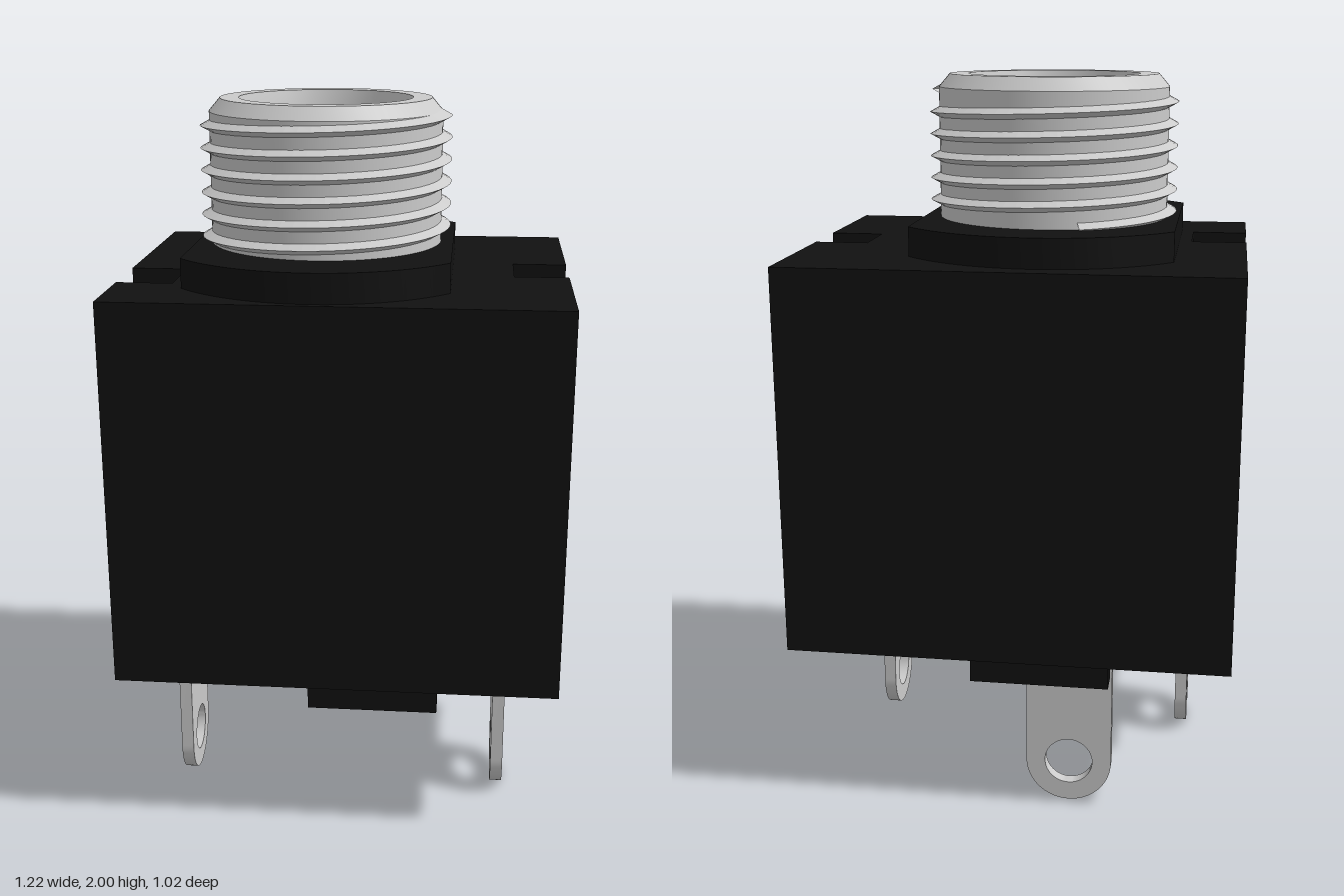
import * as THREE from 'three';
import { toCreasedNormals } from 'three/addons/utils/BufferGeometryUtils.js';
import { ParametricGeometry } from 'three/addons/geometries/ParametricGeometry.js';

const CX = -0.065, CZ = 0.015; // barrel axis

export function createModel() {
  const model = new THREE.Group();
  const black = new THREE.MeshStandardMaterial({ color: 0x111111 });
  const metal = new THREE.MeshStandardMaterial({ color: 0xcccccc });
  const ridge = new THREE.MeshStandardMaterial({ color: 0xcccccc, flatShading: true, side: THREE.DoubleSide });

  const add = (name, geometry, material, parent = model) => {
    const mesh = new THREE.Mesh(geometry, material);
    mesh.name = name;
    parent.add(mesh);
    return mesh;
  };
  const box = (name, x0, x1, y0, y1, z0, z1, material, parent) => {
    const mesh = add(name, new THREE.BoxGeometry(x1 - x0, y1 - y0, z1 - z0), material, parent);
    mesh.position.set((x0 + x1) / 2, (y0 + y1) / 2, (z0 + z1) / 2);
    return mesh;
  };
  // Plan outline from [x, z] points
  const outline = (pts, Type = THREE.Shape) => new Type(pts.map(([x, z]) => new THREE.Vector2(x, -z)));
  // Horizontal slab between two heights
  const slab = (name, shape, y0, y1, material, parent) => {
    const g = new THREE.ExtrudeGeometry(shape, { depth: y1 - y0, bevelEnabled: false, curveSegments: 32 });
    g.rotateX(-Math.PI / 2).translate(0, y0, 0);
    return add(name, toCreasedNormals(g, 0.5), material, parent);
  };
  const roundHole = (r) => new THREE.Path().absarc(CX, -CZ, r, 0, Math.PI * 2, true);
  // Strip hanging from y = 0 with a rounded lower end, centred in thickness
  const strip = (width, length, thick, hole) => {
    const r = width / 2, s = new THREE.Shape();
    s.moveTo(r, 0);
    s.lineTo(-r, 0);
    s.lineTo(-r, r - length);
    s.absarc(0, r - length, r, Math.PI, Math.PI * 2, false);
    s.closePath();
    if (hole) s.holes.push(new THREE.Path().absarc(0, r - length, hole, 0, Math.PI * 2, true));
    const g = new THREE.ExtrudeGeometry(s, { depth: thick, bevelEnabled: false, curveSegments: 24 });
    return toCreasedNormals(g.translate(0, 0, -thick / 2), 0.5);
  };

  // Housing: hollow block with a slot in each side
  const housing = new THREE.Group();
  housing.name = 'housing';
  model.add(housing);
  const X = 0.61, Z = 0.51;
  const block = outline([[-X, Z], [X, Z], [X, -Z], [-X, -Z]]);
  const slotted = () => outline([
    [-X, Z], [X, Z], [X, 0.105], [0.46, 0.105], [0.46, -0.07], [X, -0.07],
    [X, -Z], [-X, -Z], [-X, 0.08], [-0.455, 0.08], [-0.455, 0.27], [-X, 0.27],
  ]);
  const cavity = () => outline([[-0.43, -0.36], [0.43, -0.36], [0.43, 0.39], [-0.43, 0.39]], THREE.Path);
  const middle = slotted(), roof = slotted();
  block.holes.push(cavity());
  middle.holes.push(cavity());
  roof.holes.push(roundHole(0.3));
  slab('housingBase', block, 0.46, 0.86, black, housing);
  slab('housingWalls', middle, 0.86, 1.45, black, housing);
  slab('housingRoof', roof, 1.45, 1.53, black, housing);

  // Stand-off feet
  box('frontFoot', -0.075, 0.28, 0.39, 0.47, 0.41, 0.49, black, housing);
  box('backFoot', -0.28, 0.1, 0.39, 0.47, -0.49, -0.42, black, housing);
  for (const s of [-1, 1]) {
    const x = s * 0.55;
    box(s > 0 ? 'leftFoot' : 'rightFoot', x - 0.04, x + 0.04, 0.39, 0.47, -0.175, 0.18, black, housing);
  }

  // Collar: disc with two flats
  const R = 0.472, a = Math.acos(0.355 / R);
  const collar = new THREE.Shape();
  collar.absarc(CX, -0.02, R, a, Math.PI - a, false);
  collar.absarc(CX, -0.02, R, Math.PI + a, Math.PI * 2 - a, false);
  collar.closePath();
  collar.holes.push(roundHole(0.31));
  slab('collar', collar, 1.53, 1.61, black);

  // Barrel with chamfered mouth
  const profile = [[0.215, 1.45], [0.32, 1.45], [0.32, 1.965], [0.29, 2], [0.238, 2], [0.215, 1.9], [0.215, 1.45]];
  const barrel = new THREE.LatheGeometry(profile.map(([r, y]) => new THREE.Vector2(r, y)), 72);
  add('barrel', toCreasedNormals(barrel, 0.5), metal).position.set(CX, 0, CZ);

  // Screw thread: triangular ridge climbing the barrel
  const turns = 5.7, pitch = 0.06, section = [[0.315, -0.017], [0.346, 0], [0.315, 0.017]];
  const thread = new ParametricGeometry((u, v, p) => {
    const [r, dy] = section[Math.round(v * 3) % 3];
    const t = (1 - u) * turns * Math.PI * 2;
    p.set(r * Math.cos(t), 1.955 - (1 - u) * turns * pitch + dy, r * Math.sin(t));
  }, 340, 3);
  add('thread', thread, ridge).position.set(CX, 0, CZ);

  // Solder lugs
  const lug = () => strip(0.24, 0.6, 0.035, 0.067);
  add('backLug', lug(), metal).position.set(-0.165, 0.6, -0.39);
  for (const [name, x] of [['leftLug', 0.455], ['rightLug', -0.465]]) {
    const m = add(name, lug(), metal);
    m.rotation.y = Math.PI / 2;
    m.position.set(x, 0.6, 0.15);
  }

  // Contact plates in the slots, each with a barb bent outward
  for (const [side, s, z, width, tilt] of [['left', 1, 0.018, 0.175, 0.54], ['right', -1, 0.175, 0.19, 0.66]]) {
    const x = s * 0.464;
    box(side + 'ContactPlate', x - 0.009, x + 0.009, 0.8, 1.38, z - width / 2, z + width / 2, metal);
    const barb = strip(0.118, 0.235, 0.014).rotateY(Math.PI / 2).rotateZ(s * tilt);
    add(side + 'Barb', barb, metal).position.set(x, 1.09, z);
  }

  // Inner leaf contact: bent strip spanning the cavity
  const leaf = new THREE.Shape([[0.03, 0.5], [0.05, 0.5], [0.05, 0.72], [-0.015, 1.0], [-0.06, 1.04],
    [-0.06, 1.02], [-0.03, 0.99], [0.03, 0.71]].map(([x, y]) => new THREE.Vector2(x, y)));
  const leafGeo = new THREE.ExtrudeGeometry(leaf, { depth: 0.7, bevelEnabled: false });
  add('leafContact', leafGeo, metal).position.z = -0.32;

  // Side contact arm reaching toward the bore
  box('contactArm', -0.44, -0.24, 0.8, 0.82, -0.13, 0.1, metal);

  // Coil spring pushing on the leaf
  const coil = [];
  for (let i = 0; i <= 120; i++) {
    const t = (i / 120) * 6 * Math.PI * 2;
    coil.push(new THREE.Vector3(0.065 + 0.36 * i / 120, 0.62 + 0.068 * Math.cos(t), 0.068 * Math.sin(t)));
  }
  add('spring', new THREE.TubeGeometry(new THREE.CatmullRomCurve3(coil), 240, 0.019, 8), metal);

  return model;
}
